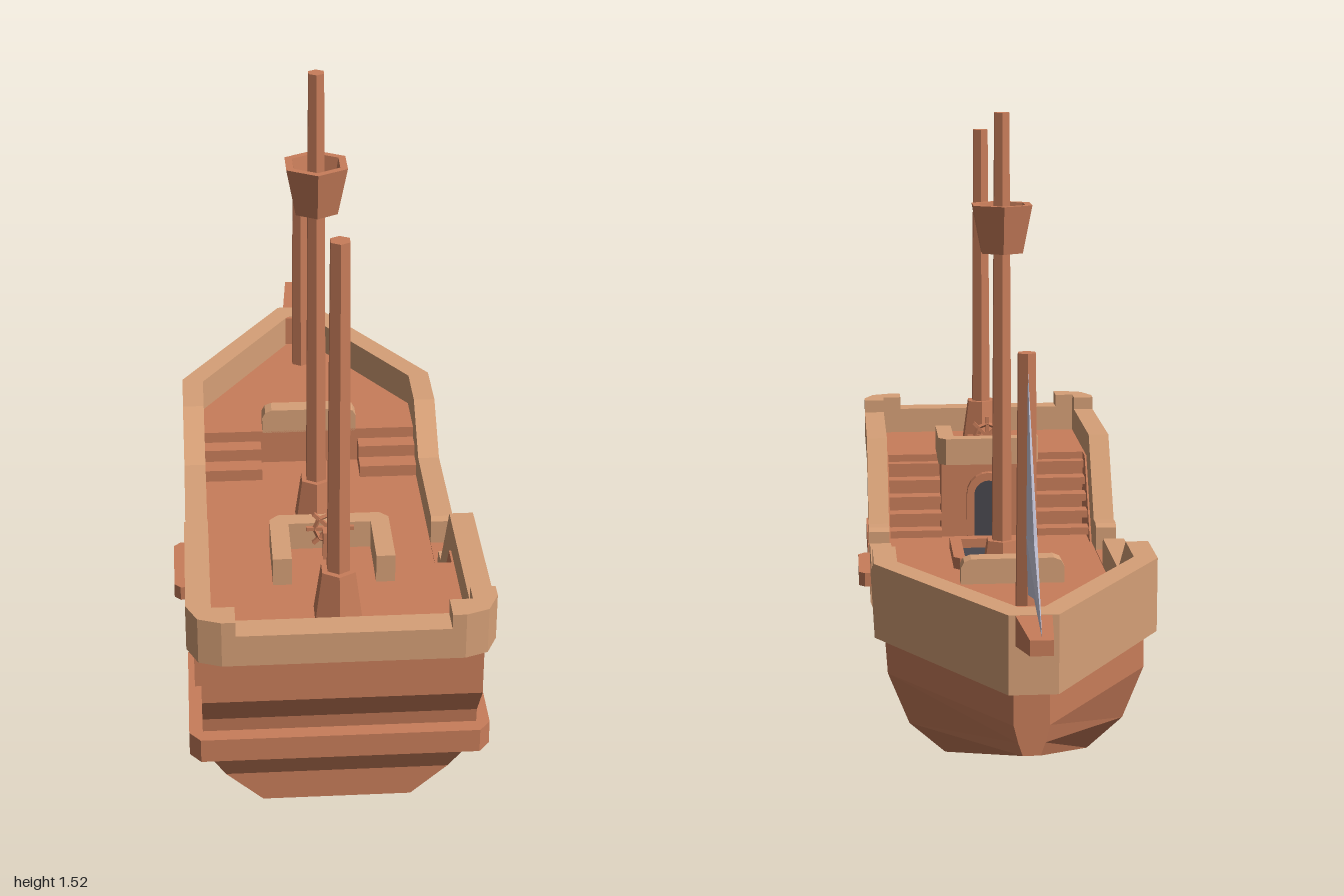
import * as THREE from 'three';

const mat = (name, color) => {
  const m = new THREE.MeshStandardMaterial({ color });
  m.name = name;
  return m;
};

export function createModel() {
  const ship = new THREE.Group();
  ship.name = 'sailingShip';
  const wood = mat('brown wood', 0xc87d5a);
  const trim = mat('light wood', 0xd6a077);
  const cloth = mat('pale cloth', 0xc8c8dc);
  const dark = mat('dark opening', 0x48474e);

  // ---- helpers ----
  const add = (name, geo, material) => {
    const g = geo.index ? geo.toNonIndexed() : geo;
    g.computeVertexNormals();
    const mesh = new THREE.Mesh(g, material);
    mesh.name = name;
    ship.add(mesh);
    return mesh;
  };
  const shapeOf = (pts) => new THREE.Shape(pts.map((p) => new THREE.Vector2(p[0], p[1])));
  const extrude = (shape, depth) =>
    new THREE.ExtrudeGeometry(shape, { depth, bevelEnabled: false, curveSegments: 5 });
  // outline in (x, z), raised from y0 to y1
  const plan = (pts, y0, y1) => extrude(shapeOf(pts), y1 - y0).rotateX(Math.PI / 2).translate(0, y1, 0);
  // outline in (z, y), spread from x0 to x1
  const side = (shape, x0, x1) => extrude(shape, x1 - x0).rotateY(-Math.PI / 2).translate(x1, 0, 0);
  const box = (x0, x1, y0, y1, z0, z1) =>
    new THREE.BoxGeometry(x1 - x0, y1 - y0, z1 - z0).translate((x0 + x1) / 2, (y0 + y1) / 2, (z0 + z1) / 2);
  // complete a half outline by reflecting it in x
  const mirror = (half) => [...half, ...half.map(([x, y]) => [-x, y]).reverse()];
  // the same slab on both sides
  const pair = (name, shape, x0, x1, m) => {
    add(name + 'Left', side(shape, x0, x1), m);
    add(name + 'Right', side(shape, -x1, -x0), m);
  };
  const arch = (c, r, y0, y1) => {
    const s = new THREE.Shape();
    s.moveTo(c - r, y0);
    s.lineTo(c + r, y0);
    s.lineTo(c + r, y1 - r);
    s.absarc(c, y1 - r, r, 0, Math.PI, false);
    s.closePath();
    return s;
  };

  // ---- lower hull, lofted through three stations of [x, y, z] ----
  const stations = [
    [[0.17, 0.035, 0.82], [0.255, 0.11, 0.82], [0.305, 0.235, 0.89], [0.305, 0.325, 0.9]],
    [[0.17, 0.035, -0.38], [0.255, 0.11, -0.38], [0.305, 0.235, -0.38], [0.305, 0.325, -0.38]],
    [[0.02, 0.17, -0.78], [0.03, 0.2, -0.78], [0.04, 0.24, -0.78], [0.04, 0.325, -0.78]],
  ].map((h) => [...h, ...h.map(([x, y, z]) => [-x, y, z]).reverse()]);
  const idx = [];
  for (let s = 0; s < 2; s++) {
    for (let i = 0; i < 8; i++) {
      const a = s * 8 + i, b = s * 8 + ((i + 1) % 8);
      idx.push(a, a + 8, b, b, a + 8, b + 8);
    }
  }
  for (let i = 0; i < 3; i++) {
    const a = i, b = i + 1, c = 6 - i, d = 7 - i;
    idx.push(a, b, c, a, c, d);
    idx.push(a + 16, c + 16, b + 16, a + 16, d + 16, c + 16);
  }
  const hull = new THREE.BufferGeometry();
  hull.setAttribute('position', new THREE.Float32BufferAttribute(stations.flat(2), 3));
  hull.setIndex(idx);
  add('hull', hull, wood);

  // ---- stern castle ----
  add('sternCastle', side(shapeOf([[0.63, 0.325], [0.9, 0.325], [0.97, 0.42], [0.97, 0.54], [0.63, 0.54]]),
    -0.305, 0.305), wood);
  pair('sternWall', shapeOf([[0.44, 0.325], [0.63, 0.325], [0.63, 0.54], [0.58, 0.54]]), 0.275, 0.305, wood);
  add('sternBand', plan(mirror([[0.335, 0.59], [0.335, 0.9], [0.31, 0.93]]), 0.232, 0.29), wood);
  add('cabin', box(-0.13, 0.13, 0.325, 0.54, 0.535, 0.64), wood);

  // ---- bulwarks ----
  pair('aftBulwark', shapeOf([[0.35, 0.325], [0.35, 0.39], [0.36, 0.4], [0.4, 0.4], [0.53, 0.61],
    [0.93, 0.61], [0.93, 0.535], [0.58, 0.535], [0.44, 0.325]]), 0.28, 0.335, trim);
  const corner = [[0.335, 0.93], [0.31, 0.982], [0.26, 1]];
  add('sternBulwark', plan([...mirror(corner), [-0.28, 0.93], [-0.28, 0.94], [0.28, 0.94], [0.28, 0.93]],
    0.535, 0.61), trim);
  for (const s of [1, -1]) {
    const pts = [[0.335, 0.895], ...corner, [0.23, 1], [0.23, 0.94], [0.28, 0.94], [0.28, 0.895]];
    add('sternCornerPost', plan(pts.map(([x, z]) => [s * x, z]), 0.605, 0.645), trim);
  }
  pair('foreBulwark', shapeOf([[0.205, 0.325], [0.205, 0.39], [0.195, 0.4], [-0.1, 0.4], [-0.23, 0.505],
    [-0.385, 0.505], [-0.385, 0.325]]), 0.28, 0.335, trim);
  add('bowBulwark', plan([[0.335, -0.385], [0.055, -0.822], [-0.055, -0.822], [-0.335, -0.385],
    [-0.28, -0.37], [-0.03, -0.76], [0.03, -0.76], [0.28, -0.37]], 0.325, 0.505), trim);

  // ---- foredeck with steps and rail ----
  add('foredeck', plan(mirror([[0.29, -0.235], [0.29, -0.385], [0.04, -0.77]]), 0.32, 0.42), wood);
  for (const s of [1, -1]) {
    for (let i = 0; i < 2; i++) {
      const g = box(-0.075, 0.075, 0.32, 0.357 + 0.033 * i, -0.24, -0.14 - 0.05 * i);
      add('foredeckStep', g.translate(s * 0.205, 0, 0), wood);
    }
  }
  add('foredeckRail', extrude(shapeOf(mirror([[0.125, 0.415], [0.125, 0.46], [0.117, 0.475], [0.1, 0.482]])),
    0.045).translate(0, 0, -0.28), trim);

  // ---- midship rib and side ledges ----
  const outer = [[0.335, 0.3], [0.335, 0.235], [0.28, 0.09], [0.18, 0]];
  const inner = [[0.3, 0.3], [0.3, 0.235], [0.25, 0.11], [0.165, 0.04]];
  add('midshipRib', extrude(shapeOf([...mirror(outer), ...mirror(inner).reverse()]), 0.133)
    .translate(0, 0, 0.21), trim);
  for (const s of [1, -1]) {
    add('boardingLedge', plan([[0.28, 0.165], [0.35, 0.165], [0.365, 0.18], [0.365, 0.355], [0.35, 0.37], [0.28, 0.37]]
      .map(([x, z]) => [s * x, z]), 0.292, 0.328), wood);
  }

  // ---- hatch ----
  const hatch = shapeOf(mirror([[0.1, 0.19], [0.115, 0.205], [0.115, 0.405], [0.1, 0.42]]));
  hatch.holes.push(new THREE.Path([[-0.085, 0.21], [0.085, 0.21], [0.085, 0.387], [-0.085, 0.387]]
    .map((p) => new THREE.Vector2(...p))));
  add('hatchFrame', extrude(hatch, 0.035).rotateX(Math.PI / 2).translate(0, 0.356, 0), wood);
  add('hatchOpening', box(-0.086, 0.086, 0.325, 0.331, 0.209, 0.388), dark);

  // ---- stairs to the stern deck ----
  for (const s of [1, -1]) {
    for (let i = 0; i < 5; i++) {
      const y = 0.36 + 0.04 * i, z = 0.47 + 0.033 * i;
      add('sternStair', box(-0.074, 0.074, y - 0.02, y, z, z + 0.045).translate(s * 0.206, 0, 0), wood);
    }
  }

  // ---- cabin door, side windows and stern deck rail ----
  const doorFrame = arch(0, 0.06, 0.325, 0.51);
  doorFrame.holes.push(arch(0, 0.04, 0.327, 0.488));
  add('doorFrame', extrude(doorFrame, 0.03).translate(0, 0, 0.515), wood);
  add('door', extrude(arch(0, 0.041, 0.327, 0.489), 0.008).translate(0, 0, 0.528), dark);
  const windowFrame = arch(0.715, 0.06, 0.325, 0.51);
  windowFrame.holes.push(arch(0.714, 0.033, 0.345, 0.482));
  pair('windowFrame', windowFrame, 0.3, 0.32, wood);
  pair('windowPane', arch(0.714, 0.034, 0.344, 0.483), 0.303, 0.31, cloth);
  add('sternDeckRail', plan(mirror([[0.095, 0.55], [0.095, 0.7], [0.138, 0.7], [0.138, 0.53], [0.118, 0.51]]),
    0.535, 0.608).clone(), trim);

  // ---- steering wheel ----
  add('wheelStand', box(-0.018, 0.018, 0.535, 0.61, 0.572, 0.6), wood);
  add('wheelRim', new THREE.TorusGeometry(0.036, 0.006, 4, 8).translate(0, 0.603, 0.565), wood);
  for (let i = 0; i < 4; i++) {
    add('wheelSpoke', new THREE.BoxGeometry(0.11, 0.009, 0.009).rotateZ((i * Math.PI) / 4)
      .translate(0, 0.603, 0.565), wood);
  }

  // ---- masts: [name, z, foot y, top y, foot radius, top radius] ----
  for (const [name, z, y0, y1, r0, r1] of [
    ['aftMast', 0.82, 0.54, 1.435, 0.029, 0.023],
    ['mainMast', 0.055, 0.325, 1.525, 0.029, 0.021],
    ['foreMast', -0.64, 0.42, 1.045, 0.027, 0.022],
  ]) {
    add(name, new THREE.CylinderGeometry(r1, r0, y1 - y0, 6).translate(0, (y0 + y1) / 2, z), wood);
    if (name !== 'foreMast') {
      add(name + 'Base', new THREE.CylinderGeometry(0.042, 0.06, 0.118, 6).translate(0, y0 + 0.059, z), wood);
    }
  }
  const nest = [[0.015, 1.18], [0.058, 1.18], [0.084, 1.3], [0.064, 1.3], [0.046, 1.205], [0.015, 1.205]];
  add('crowsNest', new THREE.LatheGeometry(nest.map((p) => new THREE.Vector2(...p)), 6).translate(0, 0, 0.055), wood);

  // ---- bowsprit, tapered to its tip ----
  const sprit = new THREE.BoxGeometry(2, 1, 1);
  const p = sprit.attributes.position;
  for (let i = 0; i < p.count; i++) {
    const tip = p.getZ(i) < 0;
    p.setXYZ(i, p.getX(i) * (tip ? 0.025 : 0.046), p.getY(i) > 0 ? 0.504 : tip ? 0.47 : 0.422, tip ? -1 : -0.75);
  }
  add('bowsprit', sprit, wood);

  // ---- jib sail: hollow edges around a slightly swollen middle ----
  const edge = [[1.015, -0.665], [0.83, -0.73], [0.66, -0.82], [0.508, -1], [0.54, -0.82], [0.508, -0.68], [0.78, -0.7]];
  const tri = [];
  edge.forEach((a, i) => {
    const b = edge[(i + 1) % edge.length];
    tri.push(0.012, 0.66, -0.765, 0, ...b, 0, ...a);
    tri.push(-0.012, 0.66, -0.765, 0, ...a, 0, ...b);
  });
  const sail = new THREE.BufferGeometry();
  sail.setAttribute('position', new THREE.Float32BufferAttribute(tri, 3));
  add('jibSail', sail, cloth);

  return ship;
}
